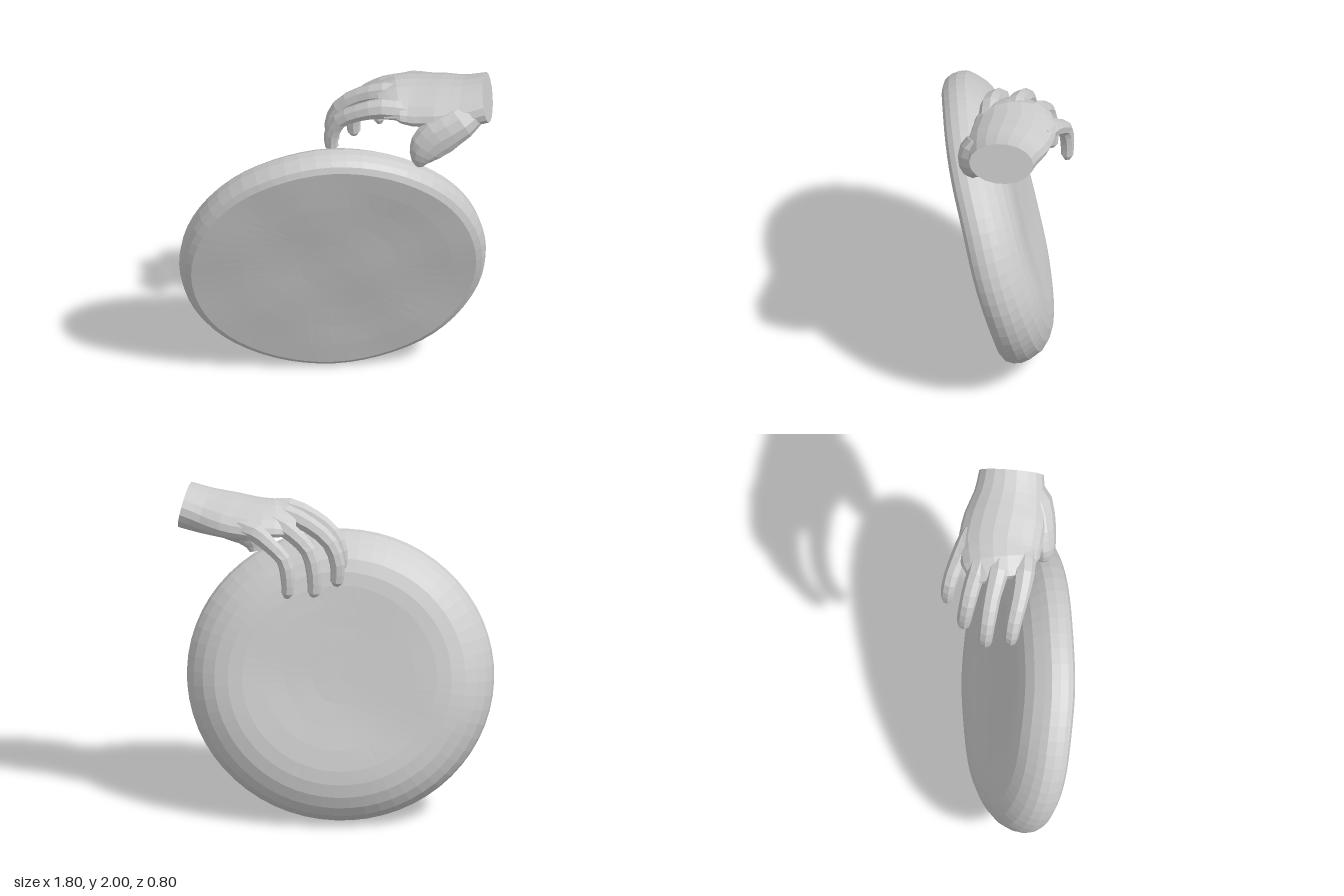
import * as THREE from 'three';

const material = new THREE.MeshStandardMaterial({ color: 0xcccccc, flatShading: true });

// Sweeps an ellipse through sections [x, y, z, halfHeight, halfWidth]; arch lowers the sides
function loft(name, sections, sides, steps, arch = 0) {
  const curve = new THREE.CatmullRomCurve3(sections.map(s => new THREE.Vector3(s[0], s[1], s[2])));
  const rings = (sections.length - 1) * steps;
  const pos = [], index = [];
  for (let i = 0; i <= rings; i++) {
    const k = Math.min(Math.floor(i / steps), sections.length - 2);
    const f = i / steps - k;
    const a = THREE.MathUtils.lerp(sections[k][3], sections[k + 1][3], f);
    const b = THREE.MathUtils.lerp(sections[k][4], sections[k + 1][4], f);
    const c = curve.getPoint(i / rings);
    const t = curve.getTangent(i / rings);
    const side = new THREE.Vector3(0, 0, 1).addScaledVector(t, -t.z).normalize();
    const up = new THREE.Vector3().crossVectors(t, side);
    for (let j = 0; j < sides; j++) {
      const ang = (j / sides) * Math.PI * 2;
      const w = Math.cos(ang) * b;
      const p = c.clone().addScaledVector(side, w)
        .addScaledVector(up, Math.sin(ang) * a - arch * (i / rings) * w * w);
      pos.push(p.x, p.y, p.z);
    }
  }
  for (let i = 0; i < rings; i++) {
    for (let j = 0; j < sides; j++) {
      const n = (j + 1) % sides;
      const p = i * sides + j, q = i * sides + n;
      index.push(p, q, p + sides, q, q + sides, p + sides);
    }
  }
  // End caps
  for (let j = 1; j < sides - 1; j++) {
    const e = rings * sides;
    index.push(0, j + 1, j, e, e + j, e + j + 1);
  }
  const geo = new THREE.BufferGeometry();
  geo.setAttribute('position', new THREE.Float32BufferAttribute(pos, 3));
  geo.setIndex(index);
  geo.computeVertexNormals();
  const mesh = new THREE.Mesh(geo, material);
  mesh.name = name;
  return mesh;
}

// Thick round disc: flat front, rounded rim, domed back, leaning and turned a little
function makeDisc() {
  const profile = [
    [0, -0.296], [0.15, -0.298], [0.3, -0.304], [0.42, -0.311], [0.54, -0.315], [0.62, -0.309],
    [0.695, -0.289], [0.76, -0.252], [0.81, -0.203], [0.84, -0.15], [0.85, -0.1], [0.843, -0.053],
    [0.825, -0.02], [0.79, 0], [0.65, 0], [0.5, -0.002], [0.35, -0.004], [0.18, -0.005], [0, -0.005],
  ].map(p => new THREE.Vector2(p[0], p[1]));
  const geo = new THREE.LatheGeometry(profile, 60);

  // Gentle dents over both faces, and a back slightly fuller towards the foot
  const p = geo.attributes.position;
  for (let i = 0; i < p.count; i++) {
    const x = p.getX(i), z = p.getZ(i);
    const back = p.getY(i) < -0.18 ? 0.025 * z : 0;
    p.setY(i, p.getY(i) - back + 0.004 * Math.sin(7 * x + 2 * z) * Math.cos(8 * z - 3 * x));
  }
  geo.scale(1.045, 1, 1);

  const n = new THREE.Vector3(0.115, -0.24, 1).normalize();
  const x = new THREE.Vector3(1, 0, 0).addScaledVector(n, -n.x).normalize();
  const z = new THREE.Vector3().crossVectors(x, n);
  geo.applyMatrix4(new THREE.Matrix4().makeBasis(x, n, z).setPosition(-0.01, 0.807, 0.196));
  geo.computeVertexNormals();
  const disc = new THREE.Mesh(geo, material);
  disc.name = 'disc';
  return disc;
}

function makeHand() {
  const hand = new THREE.Group();
  hand.name = 'hand';

  // Wrist and palm
  hand.add(loft('palm', [
    [0.87, 1.875, -0.02, 0.127, 0.187],
    [0.74, 1.848, -0.025, 0.122, 0.207],
    [0.6, 1.84, -0.045, 0.113, 0.238],
    [0.46, 1.84, -0.067, 0.098, 0.245],
    [0.34, 1.85, -0.06, 0.08, 0.228],
    [0.235, 1.83, -0.035, 0.05, 0.175],
  ], 18, 2, 0.85));

  // Thumb, broad and merging into the heel of the hand
  hand.add(loft('thumb', [
    [0.8, 1.845, 0.05, 0.085, 0.1],
    [0.71, 1.795, 0.115, 0.112, 0.115],
    [0.595, 1.72, 0.158, 0.128, 0.094],
    [0.53, 1.655, 0.183, 0.108, 0.07],
    [0.495, 1.59, 0.182, 0.07, 0.058],
    [0.485, 1.54, 0.17, 0.035, 0.042],
  ], 12, 2));

  // Four bent fingers, from knuckle to tip
  const fingers = {
    indexFinger: [[0.4, 1.83, 0.08], [0.27, 1.845, 0.08], [0.13, 1.8, 0.06], [0.02, 1.725, 0.033],
      [-0.03, 1.62, 0.02], [-0.03, 1.53, 0.015], [-0.025, 1.505, 0.015]],
    middleFinger: [[0.4, 1.86, -0.06], [0.27, 1.86, -0.07], [0.13, 1.81, -0.1], [0.01, 1.715, -0.12],
      [-0.035, 1.59, -0.13], [-0.03, 1.485, -0.13], [-0.025, 1.46, -0.13]],
    ringFinger: [[0.44, 1.85, -0.15], [0.32, 1.845, -0.175], [0.21, 1.79, -0.215], [0.12, 1.705, -0.24],
      [0.085, 1.575, -0.255], [0.085, 1.46, -0.26], [0.09, 1.435, -0.26]],
    littleFinger: [[0.52, 1.83, -0.23], [0.42, 1.81, -0.275], [0.33, 1.755, -0.32], [0.25, 1.685, -0.35],
      [0.225, 1.58, -0.36], [0.225, 1.485, -0.36], [0.23, 1.455, -0.36]],
  };
  const radii = [0.064, 0.062, 0.052, 0.048, 0.044, 0.038, 0.018];
  for (const [name, path] of Object.entries(fingers)) {
    const s = name === 'littleFinger' ? 0.92 : 1;
    hand.add(loft(name, path.map((c, i) => [...c, radii[i] * s, radii[i] * s]), 8, 2));
  }
  return hand;
}

export function createModel() {
  const model = new THREE.Group();
  model.name = 'handHoldingDisc';
  model.add(makeDisc(), makeHand());
  return model;
}
